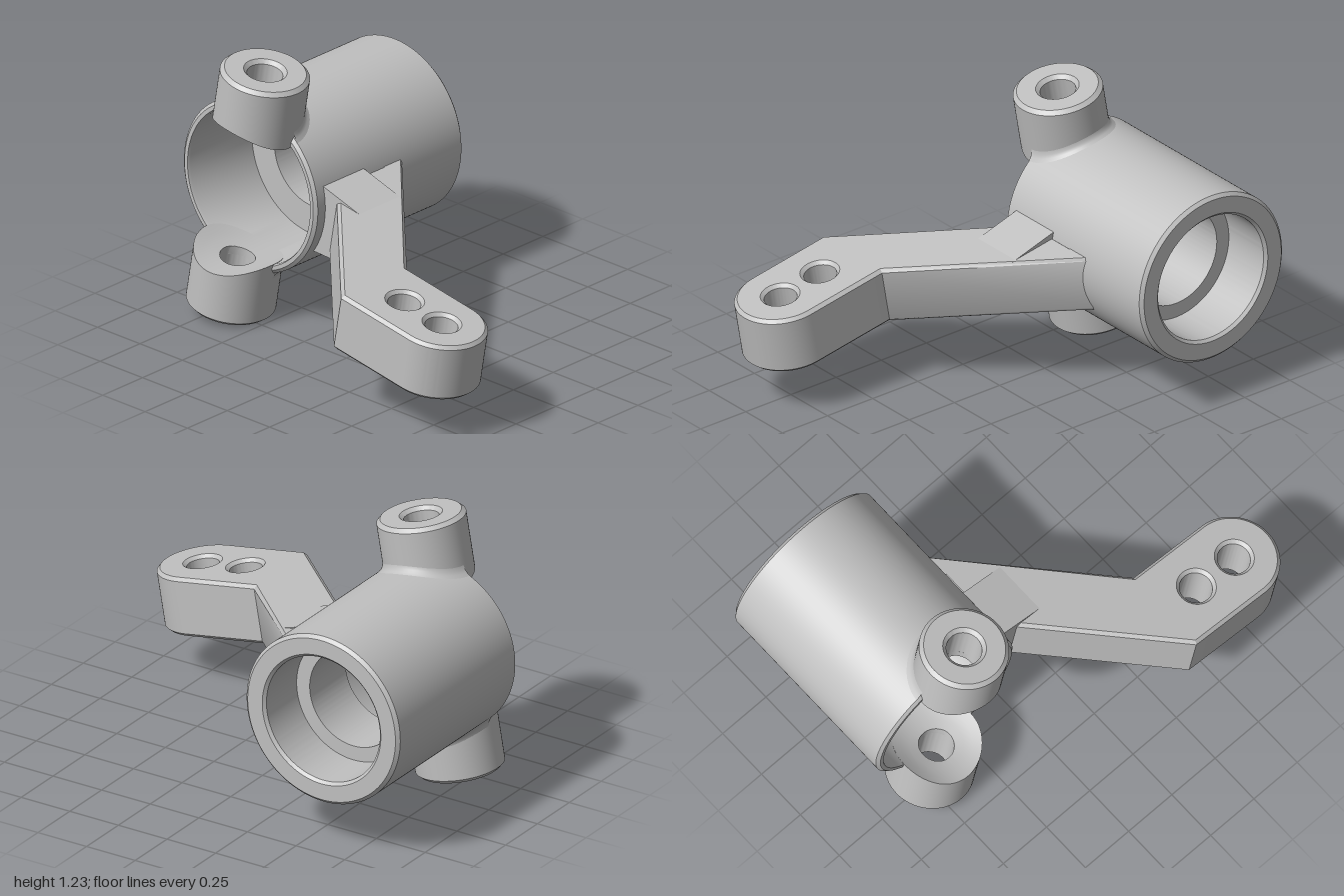
import * as THREE from 'three';
import { toCreasedNormals } from 'three/addons/utils/BufferGeometryUtils.js';

const OUTER = 0.395, POCKET = 0.357;      // hub radii
const BOSS_X = -0.225, BOSS_R = 0.196, BOLT_R = 0.078;

const lathe = (pts, segs, start = 0, len = Math.PI * 2) =>
  new THREE.LatheGeometry(pts.map(([r, y]) => new THREE.Vector2(r, y)), segs, start, len);

// Move every vertex by a rule
function bend(geo, rule) {
  const p = geo.attributes.position, v = new THREE.Vector3();
  for (let i = 0; i < p.count; i++) {
    v.fromBufferAttribute(p, i);
    rule(v);
    p.setXYZ(i, v.x, v.y, v.z);
  }
  return geo;
}

export function createModel() {
  const metal = new THREE.MeshStandardMaterial({ color: 0xc0c0c0 });
  metal.name = 'grey metal';

  const model = new THREE.Group();
  model.name = 'steeringKnuckle';

  // Everything sits in a frame tilted about the hub axis
  const frame = new THREE.Group();
  frame.name = 'tiltedFrame';
  frame.position.set(0, 0.616, -0.605);
  frame.rotation.x = THREE.MathUtils.degToRad(10);
  model.add(frame);

  const add = (name, geo, parent = frame) => {
    const mesh = new THREE.Mesh(toCreasedNormals(geo, 0.5), metal);
    mesh.name = name;
    parent.add(mesh);
  };

  // Hub tube with an inner bearing lip; its open end is notched by the bolt holes
  const hub = lathe([
    [0.362, -0.22], [0.38, -0.22], [OUTER, -0.207], [OUTER, 0.695], [0.38, 0.71],
    [0.305, 0.71], [0.292, 0.697], [0.292, 0.46], [0.225, 0.46], [0.225, 0.18],
    [POCKET, 0.18], [POCKET, -0.207], [0.362, -0.22],
  ], 192).rotateZ(-Math.PI / 2);
  bend(hub, (v) => {
    if (v.x < -0.2 && Math.abs(v.z) < BOLT_R)
      v.x = Math.max(v.x, BOSS_X + Math.sqrt(BOLT_R ** 2 - v.z ** 2));
  });
  add('hub', hub);

  // Pivot bosses above and below, their inner ends scooped to the pocket radius
  for (const [name, turn] of [['upperPivotBoss', 0], ['lowerPivotBoss', Math.PI]]) {
    const boss = new THREE.Group();
    boss.name = name;
    boss.position.x = BOSS_X;
    boss.rotation.x = turn;
    frame.add(boss);

    const body = lathe([
      [BOSS_R, 0], [BOSS_R, 0.574], [0.178, 0.591], [0.095, 0.591], [BOLT_R, 0.574],
      [BOLT_R, 0], [0.117, 0], [0.156, 0], [BOSS_R, 0],
    ], 64);
    bend(body, (v) => { if (v.y < 0.1) v.y = Math.sqrt((POCKET - 0.001) ** 2 - v.z ** 2); });
    add('bossBody', body, boss);

    // Small fillet where the boss meets the hub
    const fillet = lathe([[0.228, -0.003], [0.209, 0.006], [0.2, 0.016], [BOSS_R, 0.03]],
      32, 0.08, Math.PI - 0.16);
    bend(fillet, (v) => { v.y += Math.sqrt(OUTER ** 2 - v.z ** 2); });
    add('bossFillet', fillet, boss);
  }

  // Cranked steering arm with two bolt holes; its root steps in behind the bearing lip
  const outline = new THREE.Shape();
  outline.moveTo(-0.071, 0.36);
  outline.lineTo(-0.711, 1.0);
  outline.absarc(-0.507, 1.404, 0.204, Math.PI, 0, true);
  for (const [x, z] of [[-0.303, 1.005], [0.363, 0.339], [0.2, 0.339], [0.2, 0.36]])
    outline.lineTo(x, z);
  for (const z of [1.184, 1.407]) {
    const hole = new THREE.Path();
    hole.absarc(-0.507, z, 0.072, 0, Math.PI * 2, false);
    outline.holes.push(hole);
  }
  const bevel = 0.015, half = 0.136;
  const arm = new THREE.ExtrudeGeometry(outline, {
    depth: 2 * (half - bevel), curveSegments: 32,
    bevelEnabled: true, bevelSegments: 1, bevelSize: bevel, bevelThickness: bevel, bevelOffset: -bevel,
  });
  arm.translate(0, 0, bevel - half).rotateX(Math.PI / 2);
  add('steeringArm', arm);

  // Gusset thickening the root of the arm above and below
  const section = new THREE.Shape([
    [-0.359, -0.164], [-0.359, 0.164], [-0.595, 0.134], [-0.595, -0.134],
  ].map(([z, y]) => new THREE.Vector2(z, y)));
  const gusset = new THREE.ExtrudeGeometry(section, { depth: 0.255, bevelEnabled: false });
  gusset.rotateY(Math.PI / 2).translate(-0.16, 0, 0);
  add('armGusset', gusset);

  return model;
}
